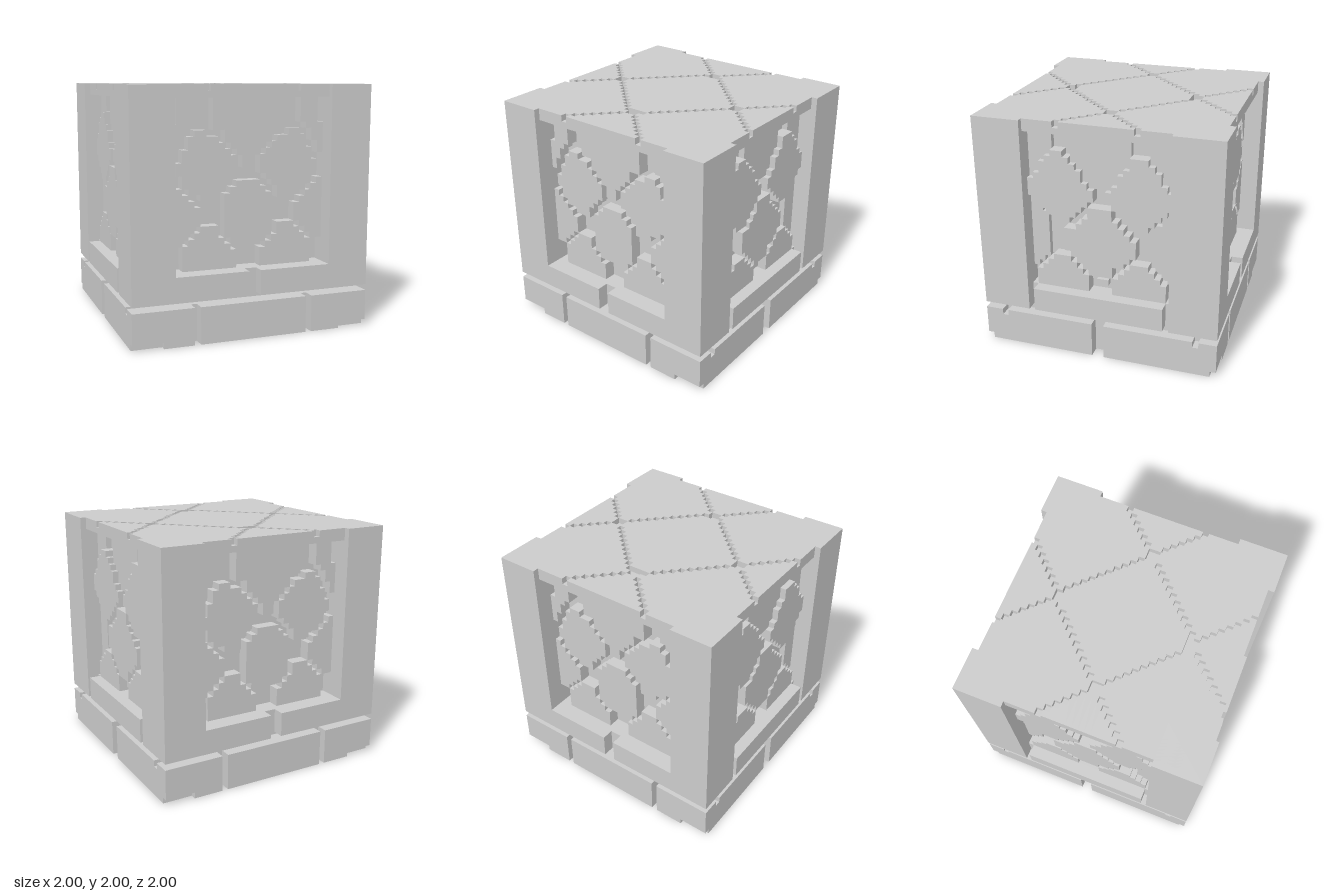
import * as THREE from 'three';
import { mergeGeometries } from 'three/addons/utils/BufferGeometryUtils.js';

const STEP = 0.05;

// Box from its limits
function boxGeo(x0, x1, y0, y1, z0, z1) {
  return new THREE.BoxGeometry(x1 - x0, y1 - y0, z1 - z0)
    .translate((x0 + x1) / 2, (y0 + y1) / 2, (z0 + z1) / 2);
}

// The same box in all four quarters of the plan
function fourBoxes(x0, x1, y0, y1, z0, z1) {
  const out = [];
  for (const sx of [-1, 1]) for (const sz of [-1, 1]) {
    const [xa, xb] = sx > 0 ? [x0, x1] : [-x1, -x0];
    const [za, zb] = sz > 0 ? [z0, z1] : [-z1, -z0];
    out.push(boxGeo(xa, xb, y0, y1, za, zb));
  }
  return out;
}

function inside(poly, x, y) {
  let hit = false;
  for (let i = 0, j = poly.length - 1; i < poly.length; j = i++) {
    const [ax, ay] = poly[i], [bx, by] = poly[j];
    if ((ay > y) !== (by > y) && x < ((bx - ax) * (y - ay)) / (by - ay) + ax) hit = !hit;
  }
  return hit;
}

// Stepped relief: runs of filled cells, extruded from depth d0 to d1
function stepped(halfW, v0, v1, d0, d1, filled) {
  const out = [];
  const cols = Math.round((2 * halfW) / STEP), rows = Math.round((v1 - v0) / STEP);
  for (let r = 0; r < rows; r++) {
    const v = v0 + r * STEP;
    let start = -1;
    for (let c = 0; c <= cols; c++) {
      const on = c < cols && filled(-halfW + (c + 0.5) * STEP, v + STEP / 2);
      if (on && start < 0) start = c;
      if (!on && start >= 0) {
        out.push(boxGeo(-halfW + start * STEP, -halfW + c * STEP, v, v + STEP, d0, d1));
        start = -1;
      }
    }
  }
  return out;
}

// Panel tiles, given for one half and mirrored; what they leave free is groove
const FRONT = {
  half: 0.65,
  depth: 0.85,
  high: [
    // top middle
    [[0, 1.9], [0.3, 1.9], [0.3, 1.65], [0.2, 1.65], [0.2, 1.55], [0.05, 1.42], [0.05, 1.35], [0, 1.35]],
    // diamond
    [[0.38, 1.65], [0.45, 1.65], [0.5, 1.6], [0.5, 1.5], [0.55, 1.5], [0.55, 1.4], [0.6, 1.4], [0.6, 1.3],
      [0.55, 1.3], [0.55, 1.25], [0.4, 1.1], [0.25, 1.1], [0.25, 1.15], [0.1, 1.31], [0.1, 1.4], [0.28, 1.6]],
    // upper corner
    [[0.45, 1.9], [0.6, 1.9], [0.6, 1.7], [0.65, 1.7], [0.65, 1.45], [0.6, 1.45], [0.6, 1.55], [0.55, 1.55],
      [0.55, 1.65], [0.5, 1.65], [0.5, 1.7], [0.45, 1.7]],
    // side wedge
    [[0.65, 1.25], [0.6, 1.25], [0.55, 1.18], [0.4, 1.05], [0.4, 0.95], [0.55, 0.8], [0.55, 0.75], [0.65, 0.75]],
    // centre
    [[0, 1.25], [0.1, 1.25], [0.2, 1.15], [0.2, 0.85], [0.1, 0.75], [0, 0.75]],
    // bottom
    [[0.1, 0.55], [0.55, 0.55], [0.55, 0.72], [0.4, 0.87], [0.4, 0.9], [0.25, 0.9], [0.25, 0.84], [0.1, 0.68]],
  ],
  mid: [],
};
const SIDE = {
  half: 0.6,
  depth: 0.9,
  high: [
    // diamond
    [[0.3, 1.76], [0.35, 1.76], [0.42, 1.7], [0.5, 1.62], [0.55, 1.5], [0.6, 1.5], [0.6, 1.4], [0.55, 1.32],
      [0.4, 1.15], [0.28, 1.15], [0.07, 1.37], [0.05, 1.45], [0.1, 1.47], [0.2, 1.62]],
    // centre
    [[0, 1.3], [0.05, 1.3], [0.2, 1.15], [0.3, 1.05], [0.3, 0.95], [0.2, 0.85], [0.05, 0.7], [0, 0.7]],
    // bottom
    [[0.1, 0.55], [0.55, 0.55], [0.55, 0.7], [0.4, 0.85], [0.27, 0.85], [0.1, 0.67]],
  ],
  mid: [
    [[0, 1.9], [0.25, 1.9], [0.25, 1.6], [0.05, 1.45], [0, 1.45]],
    [[0.4, 1.9], [0.6, 1.9], [0.6, 1.4], [0.4, 1.4]],
    [[0.6, 1.4], [0.6, 0.7], [0.55, 0.7], [0.45, 0.85], [0.45, 1.15], [0.5, 1.3]],
    [[0, 0.65], [0.05, 0.65], [0.05, 0.6], [0, 0.6]],
  ],
};

function panel({ half, depth, high, mid }) {
  const within = list => (x, y) => list.some(p => inside(p, Math.abs(x), y));
  return mergeGeometries([
    ...stepped(half, 0.55, 1.9, depth - 0.15, depth, within(high)),
    ...stepped(half, 0.55, 1.9, depth - 0.15, depth - 0.05, within(mid)),
  ]);
}

// Diagonal chains of small cuts crossing the lid
function isLidGroove(x, z) {
  const ax = Math.abs(x), az = Math.abs(z);
  if (ax < 0.05 && az > 0.5 && az < 0.6) return true;
  if (az < 0.05 && ax > 0.55 && ax < 0.65) return true;
  const near = (a, b) => Math.abs(a - b) < 0.01;
  return (ax > 0.05 && ax < 0.55 && near(ax + az, 0.6)) ||
    (ax > 0.05 && az > 0.6 && ax < 0.4 && near(az - ax, 0.55)) ||
    (az > 0.05 && ax > 0.65 && az < 0.35 && near(ax - az, 0.6));
}

export function createModel() {
  const model = new THREE.Group();
  const stone = new THREE.MeshStandardMaterial({ color: 0xcccccc });
  stone.name = 'grey stone';
  const add = (name, geo) => {
    const mesh = new THREE.Mesh(Array.isArray(geo) ? mergeGeometries(geo) : geo, stone);
    mesh.name = name;
    model.add(mesh);
    return mesh;
  };

  // Plinth with joints and chipped lower corners
  add('plinth', [
    boxGeo(-0.9, 0.9, 0, 0.3, -0.9, 0.9),
    boxGeo(-0.45, 0.45, 0, 0.3, 0.9, 1),
    boxGeo(-0.45, 0.45, 0, 0.3, -1, -0.9),
    ...fourBoxes(0.5, 1, 0, 0.3, 0.9, 0.95),
    ...fourBoxes(0.5, 1, 0.05, 0.3, 0.95, 1),
    ...fourBoxes(0.5, 0.75, 0, 0.05, 0.95, 1),
    ...fourBoxes(0.9, 1, 0, 0.3, 0.05, 0.8),
    ...fourBoxes(0.9, 1, 0, 0.25, 0.8, 0.85),
    ...fourBoxes(0.9, 1, 0, 0.3, 0.85, 0.9),
  ]);
  add('neck', boxGeo(-0.9, 0.9, 0.3, 0.35, -0.85, 0.85));

  // Body
  add('core', boxGeo(-0.8, 0.8, 0.35, 1.9, -0.75, 0.75));
  add('cornerColumns', fourBoxes(0.65, 1, 0.35, 2, 0.6, 1));
  add('sills', [
    boxGeo(-0.9, 0.9, 0.35, 0.55, -0.9, 0.9),
    ...fourBoxes(0.05, 0.65, 0.35, 0.55, 0.9, 1),
    boxGeo(0.9, 1, 0.35, 0.55, -0.55, 0.55),
    boxGeo(-1, -0.9, 0.35, 0.55, -0.55, 0.55),
  ]);

  // Carved panels on the four faces
  const frontGeo = panel(FRONT), sideGeo = panel(SIDE);
  ['frontPanel', 'leftPanel', 'backPanel', 'rightPanel'].forEach((name, i) => {
    add(name, i % 2 ? sideGeo : frontGeo).rotation.y = (i * Math.PI) / 2;
  });

  // Lid with crossing grooves
  add('lid', boxGeo(-0.95, 0.95, 1.9, 1.95, -0.95, 0.95));
  const lidCells = stepped(0.95, -0.95, 0.95, -2, -1.95, (x, z) => !isLidGroove(x, z));
  add('lidSurface', mergeGeometries(lidCells).rotateX(Math.PI / 2));
  return model;
}
